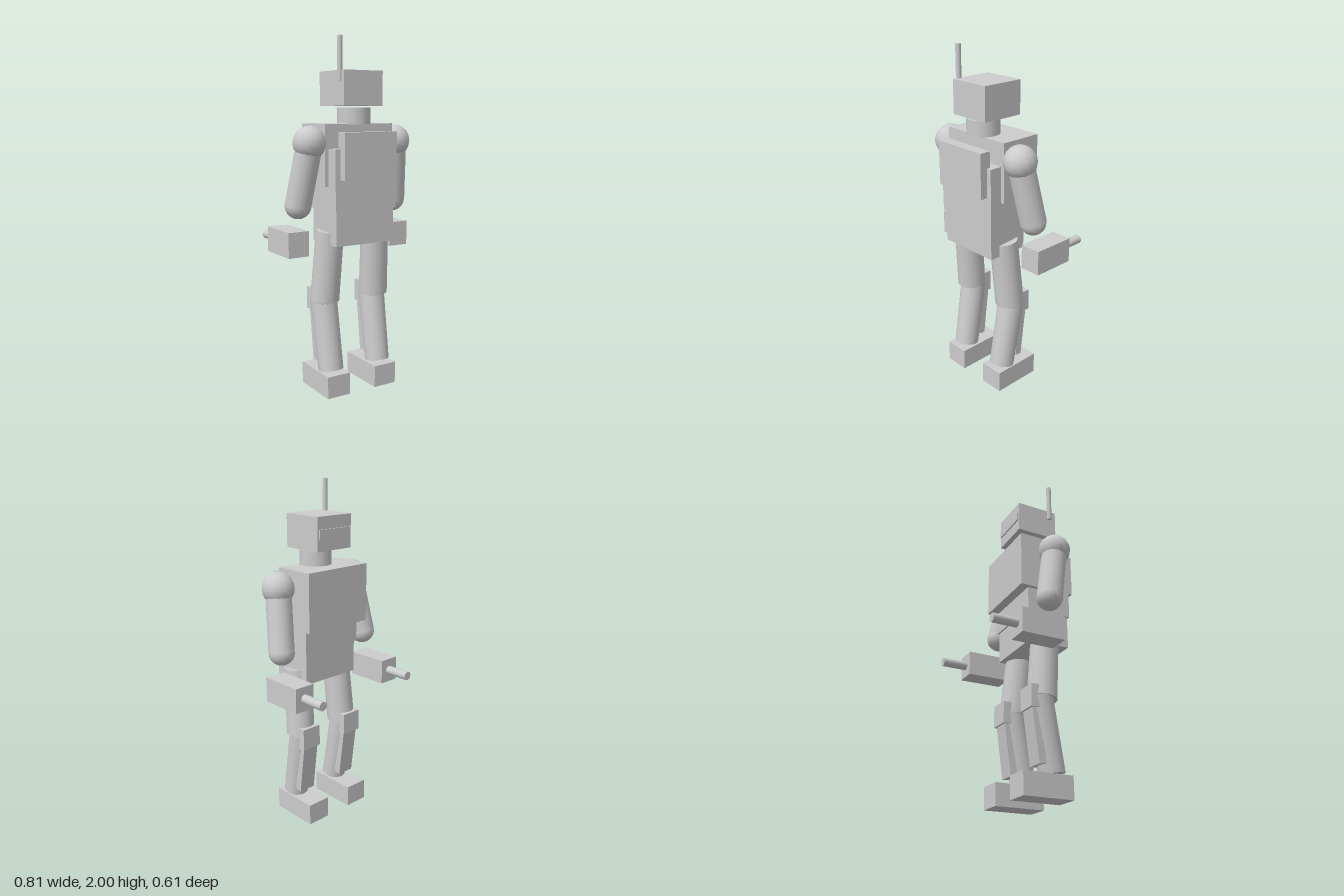
import * as THREE from 'three';

export function createModel() {
  const model = new THREE.Group();
  const grey = new THREE.MeshStandardMaterial({ color: 0xcccccc });
  grey.name = 'plain grey';

  const add = (name, geometry, parent = model) => {
    const mesh = new THREE.Mesh(geometry, grey);
    mesh.name = name;
    parent.add(mesh);
    return mesh;
  };
  // Box given by its limits along each axis
  const box = (name, [x0, x1], [y0, y1], [z0, z1], parent) => {
    const mesh = add(name, new THREE.BoxGeometry(x1 - x0, y1 - y0, z1 - z0), parent);
    mesh.position.set((x0 + x1) / 2, (y0 + y1) / 2, (z0 + z1) / 2);
    return mesh;
  };
  // Cylinder running from point a to point b
  const limb = (name, a, b, ra, rb, parent) => {
    const start = new THREE.Vector3(...a), end = new THREE.Vector3(...b);
    const dir = end.clone().sub(start);
    const mesh = add(name, new THREE.CylinderGeometry(rb, ra, dir.length(), 20), parent);
    mesh.position.copy(start).add(end).multiplyScalar(0.5);
    mesh.quaternion.setFromUnitVectors(new THREE.Vector3(0, 1, 0), dir.normalize());
    return mesh;
  };
  const ball = (name, p, r, parent) => {
    const mesh = add(name, new THREE.SphereGeometry(r, 14, 10), parent);
    mesh.position.set(...p);
    return mesh;
  };

  // Head, visor, antenna and neck; the face looks towards -z
  box('head', [-0.127, 0.125], [1.63, 1.82], [-0.028, 0.227]);
  box('visor', [-0.115, 0.115], [1.70, 1.75], [-0.036, -0.027]);
  limb('antenna', [-0.128, 1.76, 0.185], [-0.128, 2, 0.185], 0.015, 0.015);
  limb('neck', [0, 1.53, 0.127], [0, 1.62, 0.127], 0.093, 0.093);

  // Torso
  box('chest', [-0.222, 0.222], [1.195, 1.533], [-0.065, 0.186]);
  box('abdomen', [-0.2, 0.2], [1.06, 1.4], [-0.01, 0.26]);
  box('hips', [-0.19, 0.19], [0.87, 1.06], [0, 0.25]);
  box('backpack', [-0.17, 0.17], [1.235, 1.49], [0.238, 0.303]);

  for (const s of [-1, 1]) {
    const side = s > 0 ? 'left' : 'right';
    const span = (a, b) => (s > 0 ? [a, b] : [-b, -a]);

    // Arm with a boxed forearm gun
    const arm = new THREE.Group();
    arm.name = side + 'Arm';
    model.add(arm);
    ball('shoulder', [s * 0.281, 1.432, 0.124], 0.093, arm);
    limb('upperArm', [s * 0.281, 1.43, 0.124], [s * 0.321, 1.085, 0.06], 0.073, 0.074, arm);
    ball('elbow', [s * 0.32, 1.085, 0.059], 0.075, arm);
    box('forearm', span(0.277, 0.403), [0.802, 0.945], [-0.155, 0.1], arm);
    limb('gunBarrel', [s * 0.34, 0.874, -0.15], [s * 0.34, 0.874, -0.303], 0.026, 0.026, arm);

    // Leg with knee pad, shin guard and foot
    const leg = new THREE.Group();
    leg.name = side + 'Leg';
    model.add(leg);
    limb('thigh', [s * 0.152, 0.94, 0.12], [s * 0.167, 0.54, 0.086], 0.08, 0.084, leg);
    ball('knee', [s * 0.166, 0.54, 0.075], 0.078, leg);
    limb('shin', [s * 0.166, 0.55, 0.068], [s * 0.161, 0.137, 0.142], 0.077, 0.072, leg);
    box('kneePad', span(0.102, 0.228), [0.472, 0.6], [-0.012, 0.055], leg);
    const guard = box('shinGuard', span(0.11, 0.216), [0.175, 0.53], [0.015, 0.058], leg);
    guard.rotation.x = -0.125;
    box('foot', span(0.086, 0.232), [0, 0.127], [-0.066, 0.229], leg);
  }
  return model;
}
